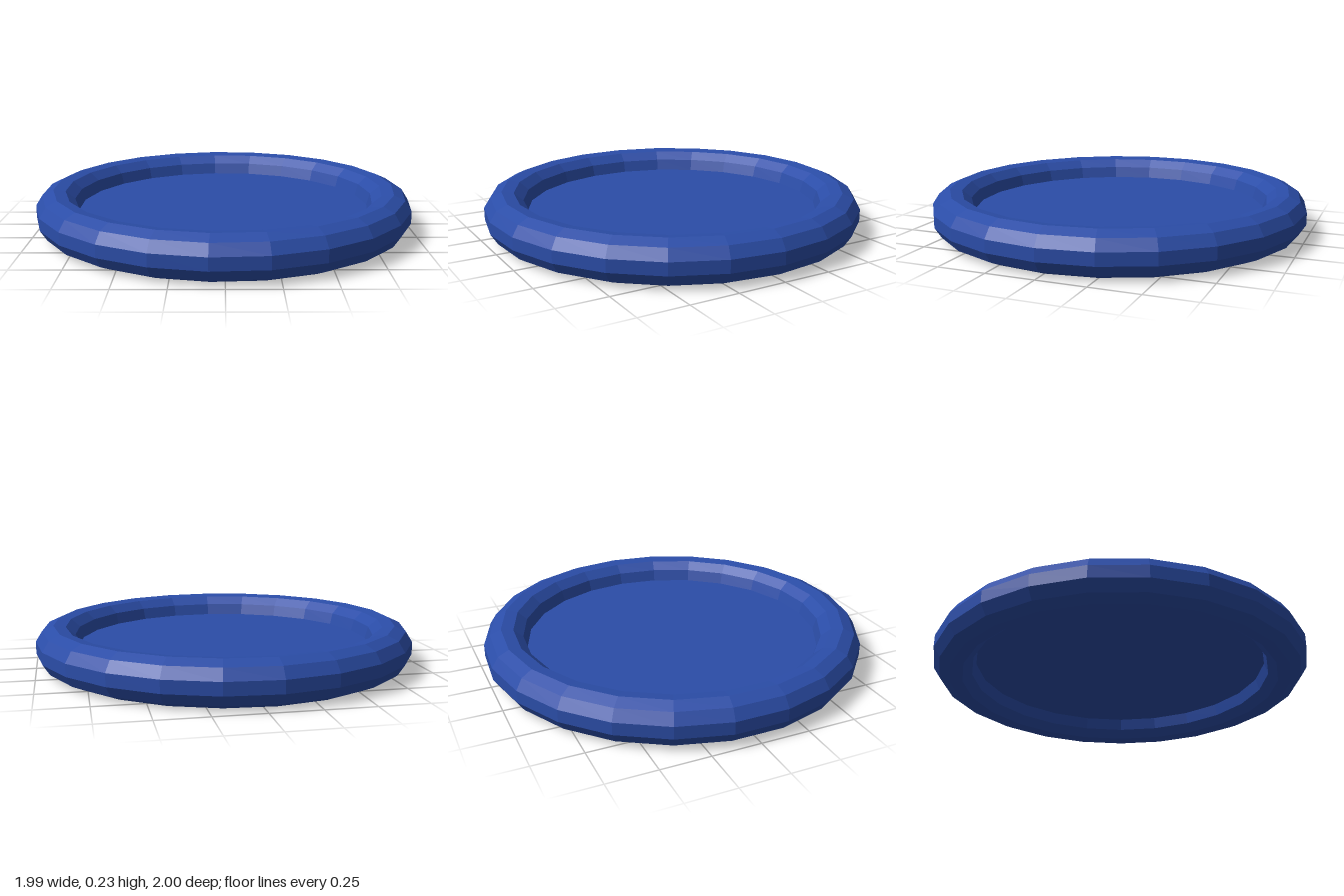
import * as THREE from 'three';

export function createModel() {
  const group = new THREE.Group();
  const sides = 23, tubeSides = 11;
  const ringRadius = 0.893, tubeRadius = 0.1137, midY = 0.1125;
  const color = 0x2b4da8;

  // Rounded rim: an eleven-sided section, with a corner pointing inward, swept round
  const section = [];
  for (let i = 0; i <= tubeSides; i++) {
    const a = -Math.PI + (i / tubeSides) * Math.PI * 2;
    section.push(new THREE.Vector2(ringRadius + tubeRadius * Math.cos(a), tubeRadius * Math.sin(a)));
  }
  const rim = new THREE.Mesh(
    new THREE.LatheGeometry(section, sides, Math.PI / 2),
    new THREE.MeshStandardMaterial({ color, flatShading: true })
  );
  rim.name = 'rim';

  // Thin flat disc filling the rim at mid height
  const disc = new THREE.Mesh(
    new THREE.CircleGeometry(0.785, sides).rotateX(-Math.PI / 2),
    new THREE.MeshStandardMaterial({ color, flatShading: true, side: THREE.DoubleSide })
  );
  disc.name = 'disc';

  // The odd side count makes the ring slightly lopsided, so recentre in x
  for (const part of [rim, disc]) {
    part.position.set(-0.005, midY, 0);
    group.add(part);
  }
  return group;
}
